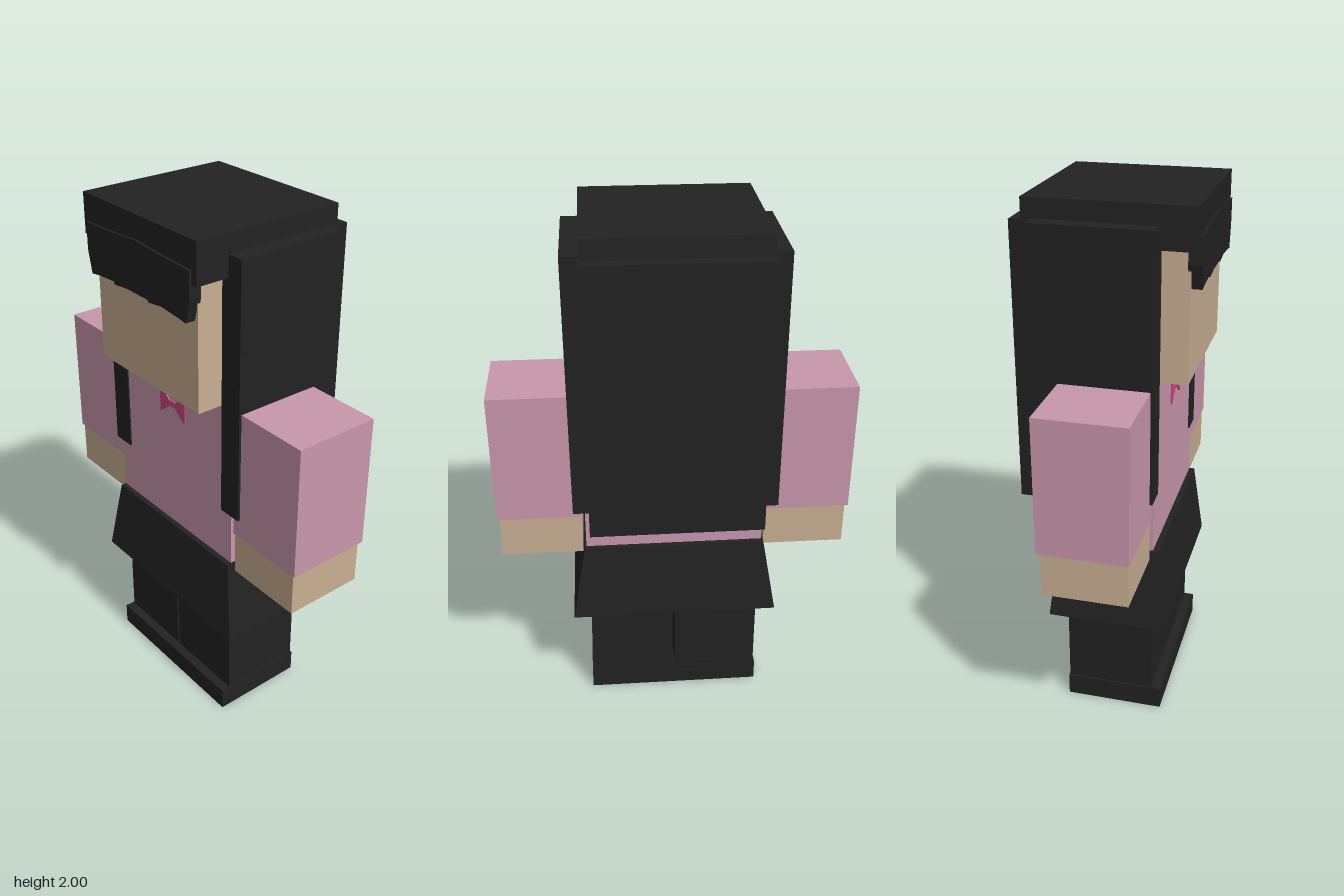
import * as THREE from 'three';

export function createModel() {
  const model = new THREE.Group();
  const material = (name, color) => {
    const m = new THREE.MeshStandardMaterial({ color });
    m.name = name;
    return m;
  };
  const black = material('black', 0x222222);
  const pink = material('pink', 0xc997ad);
  const skin = material('skin', 0xc9af93);
  const magenta = material('magenta', 0xcc4880);

  const add = (name, geometry, mat) => {
    const mesh = new THREE.Mesh(geometry, mat);
    mesh.name = name;
    model.add(mesh);
    return mesh;
  };
  // Box given by its lowest and highest corner
  const box = (name, mat, [x0, y0, z0], [x1, y1, z1]) => {
    const g = new THREE.BoxGeometry(x1 - x0, y1 - y0, z1 - z0);
    g.translate((x0 + x1) / 2, (y0 + y1) / 2, (z0 + z1) / 2);
    return add(name, g, mat);
  };
  // Flat outline in x and y, thickened from z0 to z1
  const plate = (name, mat, points, z0, z1) => {
    const shape = new THREE.Shape(points.map(([x, y]) => new THREE.Vector2(x, y)));
    const g = new THREE.ExtrudeGeometry(shape, { depth: z1 - z0, bevelEnabled: false });
    g.translate(0, 0, z0);
    return add(name, g, mat);
  };

  // Head and body
  box('head', skin, [-0.29, 1.375, -0.28], [0.29, 1.9, 0.29]);
  box('torso', pink, [-0.343, 0.7, -0.155], [0.343, 1.375, 0.185]);

  // Hair: cap, long back panel and fringe
  box('hairCap', black, [-0.32, 1.85, -0.285], [0.32, 2, 0.317]);
  box('backHair', black, [-0.325, 0.885, -0.327], [0.325, 1.925, -0.19]);
  plate('fringe', black, [
    [-0.275, 1.715], [-0.23, 1.722], [-0.14, 1.728], [-0.13, 1.718], [-0.06, 1.726],
    [0.06, 1.726], [0.07, 1.718], [0.14, 1.728], [0.23, 1.72], [0.275, 1.715],
    [0.295, 1.8], [0.295, 1.9], [0.15, 1.905], [0, 1.915], [-0.15, 1.905], [-0.295, 1.9], [-0.295, 1.8],
  ], 0.28, 0.327);

  // Mirrored parts
  for (const [side, s] of [['left', 1], ['right', -1]]) {
    const pair = (part, mat, [x0, y0, z0], [x1, y1, z1]) =>
      box(side + part, mat, [Math.min(s * x0, s * x1), y0, z0], [Math.max(s * x0, s * x1), y1, z1]);
    pair('SideHair', black, [0.29, 0.94, -0.25], [0.385, 1.93, 0.19]);
    pair('Sleeve', pink, [0.35, 0.862, -0.152], [0.68, 1.375, 0.18]);
    pair('Hand', skin, [0.355, 0.692, -0.14], [0.67, 0.87, 0.175]);
    pair('Leg', black, [0.005, 0.08, -0.152], [0.336, 0.7, 0.182]);
    pair('Shoe', black, [0, 0, -0.155], [0.343, 0.087, 0.22]);
  }

  // Flared skirt: a box whose lower corners are spread
  const skirt = new THREE.BoxGeometry(1, 1, 1);
  const p = skirt.attributes.position;
  for (let i = 0; i < p.count; i++) {
    const top = p.getY(i) > 0;
    p.setXYZ(i, p.getX(i) * (top ? 0.7 : 0.808), top ? 0.725 : 0.415,
      0.016 + p.getZ(i) * (top ? 0.38 : 0.446));
  }
  skirt.computeVertexNormals();
  add('skirt', skirt, black);

  // Bow on the chest
  plate('bow', magenta, [
    [-0.075, 1.2], [-0.065, 1.203], [-0.018, 1.242], [0.018, 1.242], [0.065, 1.203], [0.075, 1.2],
    [0.075, 1.307], [0.062, 1.305], [0.018, 1.264], [-0.018, 1.264], [-0.062, 1.305], [-0.075, 1.307],
  ], 0.183, 0.19);

  return model;
}
